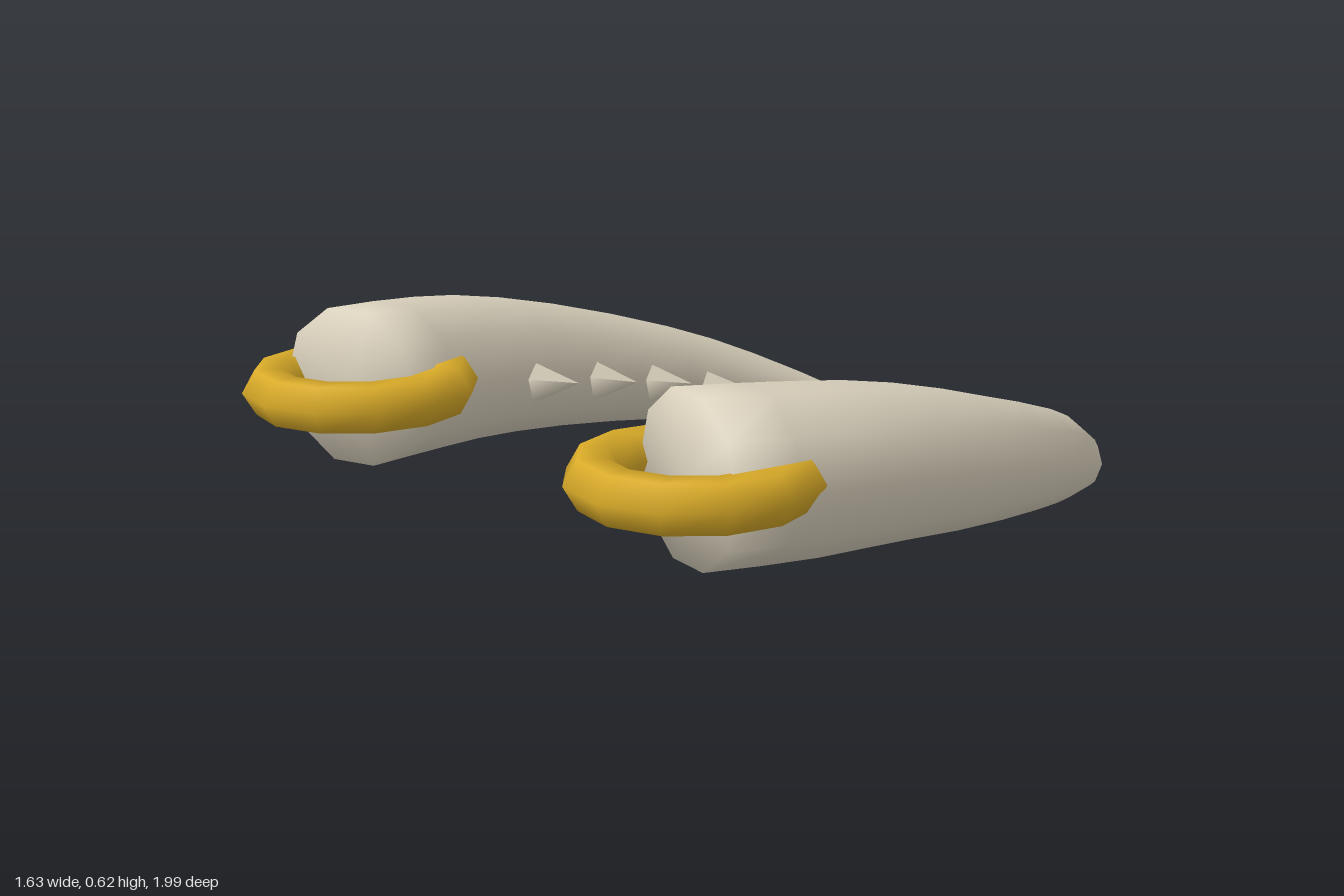
import * as THREE from 'three';

const ivory = new THREE.MeshStandardMaterial({ color: 0xd9d0bc });
ivory.name = 'ivory';
const gold = new THREE.MeshStandardMaterial({ color: 0xd8aa28 });
gold.name = 'gold';

// Horn centre line, root to tip: x, y, z, radius
const SPINE = [
  [0.55, 0.442, 0.75, 0.188], [0.61, 0.422, 0.5, 0.184], [0.635, 0.4, 0.28, 0.173],
  [0.64, 0.352, 0, 0.152], [0.597, 0.288, -0.3, 0.122], [0.532, 0.231, -0.5, 0.096],
  [0.435, 0.16, -0.7, 0.064], [0.33, 0.092, -0.85, 0.038], [0.155, 0.015, -0.99, 0.013],
];

// Spikes on the inner edge: base x, y, z, then tip x, y, z
const SPIKES = [
  [0.46, 0.38, 0.265, 0.36, 0.39, 0.22],
  [0.475, 0.345, 0.055, 0.38, 0.352, 0.01],
  [0.475, 0.305, -0.135, 0.38, 0.315, -0.18],
  [0.455, 0.26, -0.315, 0.365, 0.275, -0.36],
  [0.415, 0.21, -0.495, 0.325, 0.225, -0.54],
  [0.365, 0.17, -0.645, 0.27, 0.178, -0.70],
];

// Tapered ten-sided sweep along the spine, closed at both ends
function hornGeometry(side) {
  const sides = 10, steps = 14;
  const path = new THREE.CatmullRomCurve3(
    SPINE.map(([x, y, z]) => new THREE.Vector3(x * side, y, z)), false, 'catmullrom');
  const radii = new THREE.CatmullRomCurve3(
    SPINE.map((p) => new THREE.Vector3(p[3], 0, 0)), false, 'catmullrom');
  const pos = [], idx = [];
  const up = new THREE.Vector3(0, 1, 0);
  for (let i = 0; i <= steps; i++) {
    const t = i / steps;
    const c = path.getPoint(t), r = radii.getPoint(t).x;
    const along = path.getTangent(t);
    if (i === 0) along.setY(0).normalize();
    const across = new THREE.Vector3().crossVectors(along, up).normalize();
    const over = new THREE.Vector3().crossVectors(across, along);
    for (let j = 0; j < sides; j++) {
      const a = (j / sides) * Math.PI * 2;
      const p = c.clone().addScaledVector(across, r * Math.cos(a)).addScaledVector(over, r * Math.sin(a));
      pos.push(p.x, p.y, p.z);
    }
  }
  const at = (i, j) => i * sides + (j % sides);
  for (let i = 0; i < steps; i++) {
    for (let j = 0; j < sides; j++) {
      idx.push(at(i + 1, j), at(i + 1, j + 1), at(i, j));
      idx.push(at(i + 1, j + 1), at(i, j + 1), at(i, j));
    }
  }
  // End caps share the rim vertices, so the shading rolls over the edge
  const root = pos.length / 3;
  for (const t of [0, 1]) pos.push(...path.getPoint(t).toArray());
  for (let j = 0; j < sides; j++) {
    idx.push(root, at(0, j), at(0, j + 1));
    idx.push(root + 1, at(steps, j + 1), at(steps, j));
  }
  const geo = new THREE.BufferGeometry();
  geo.setAttribute('position', new THREE.Float32BufferAttribute(pos, 3));
  geo.setIndex(idx);
  geo.computeVertexNormals();
  return geo;
}

function addMesh(parent, name, geometry, material) {
  const mesh = new THREE.Mesh(geometry, material);
  mesh.name = name;
  parent.add(mesh);
  return mesh;
}

function createMandible(side) {
  const group = new THREE.Group();
  group.name = side > 0 ? 'leftMandible' : 'rightMandible';
  addMesh(group, 'horn', hornGeometry(side), ivory);

  // Ring through the root of the horn
  const ring = addMesh(group, 'ring', new THREE.TorusGeometry(0.21, 0.06, 6, 12), gold);
  ring.rotation.x = Math.PI / 2;
  ring.position.set(0.545 * side, 0.442, 0.723);

  // Row of spikes
  for (const [bx, by, bz, tx, ty, tz] of SPIKES) {
    const base = new THREE.Vector3(bx * side, by, bz);
    const tip = new THREE.Vector3(tx * side, ty, tz);
    const dir = tip.clone().sub(base);
    const spike = addMesh(group, 'spike', new THREE.ConeGeometry(0.05, dir.length(), 5), ivory);
    spike.position.copy(base).add(tip).multiplyScalar(0.5);
    spike.quaternion.setFromUnitVectors(new THREE.Vector3(0, 1, 0), dir.normalize());
  }
  return group;
}

export function createModel() {
  const model = new THREE.Group();
  model.name = 'mandibles';
  for (const side of [1, -1]) model.add(createMandible(side));
  return model;
}
